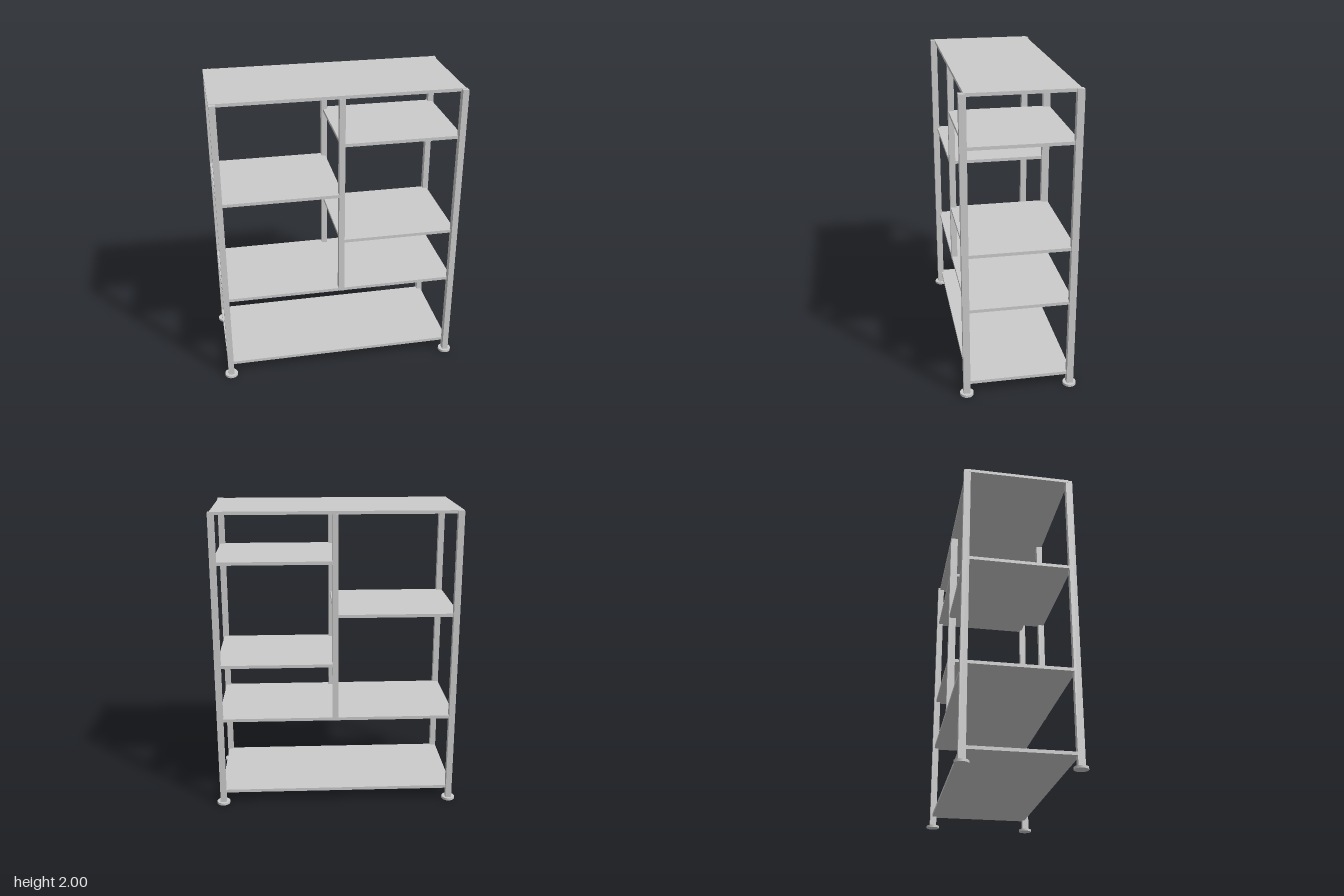
import * as THREE from 'three';

const material = new THREE.MeshStandardMaterial({ color: 0xcccccc });

// Box given by its lower and upper corner
function block(name, [x0, y0, z0], [x1, y1, z1]) {
  const mesh = new THREE.Mesh(new THREE.BoxGeometry(x1 - x0, y1 - y0, z1 - z0), material);
  mesh.name = name;
  mesh.position.set((x0 + x1) / 2, (y0 + y1) / 2, (z0 + z1) / 2);
  return mesh;
}

export function createModel() {
  const group = new THREE.Group();
  group.name = 'shelvingUnit';

  // Shelves: name, left end, right end, underside height
  const shelves = [
    ['bottomShelf', -0.797, 0.787, 0.08],
    ['lowerShelf', -0.797, 0.787, 0.602],
    ['rightLowerShelf', 0, 0.787, 0.978],
    ['leftMiddleShelf', -0.797, 0.015, 1.313],
    ['rightUpperShelf', 0, 0.787, 1.663],
    ['topShelf', -0.8, 0.787, 1.979],
  ];
  for (const [name, x0, x1, y] of shelves) {
    group.add(block(name, [x0, y, -0.35], [x1, y + 0.021, 0.333]));
  }

  // Corner posts, each on a round foot
  const footGeometry = new THREE.CylinderGeometry(0.044, 0.044, 0.016, 32);
  for (const x of [-0.779, 0.777]) {
    for (const z of [-0.342, 0.341]) {
      group.add(block('cornerPost', [x - 0.02, 0.014, z - 0.022], [x + 0.02, 1.997, z + 0.022]));
      const foot = new THREE.Mesh(footGeometry, material);
      foot.name = 'foot';
      foot.position.set(x, 0.008, z);
      group.add(foot);
    }
  }

  // Middle posts between the lower and the top shelf
  group.add(block('middlePostFront', [-0.012, 0.602, 0.295], [0.026, 1.98, 0.335]));
  group.add(block('middlePostBack', [-0.012, 0.602, -0.352], [0.026, 1.98, -0.303]));

  return group;
}
